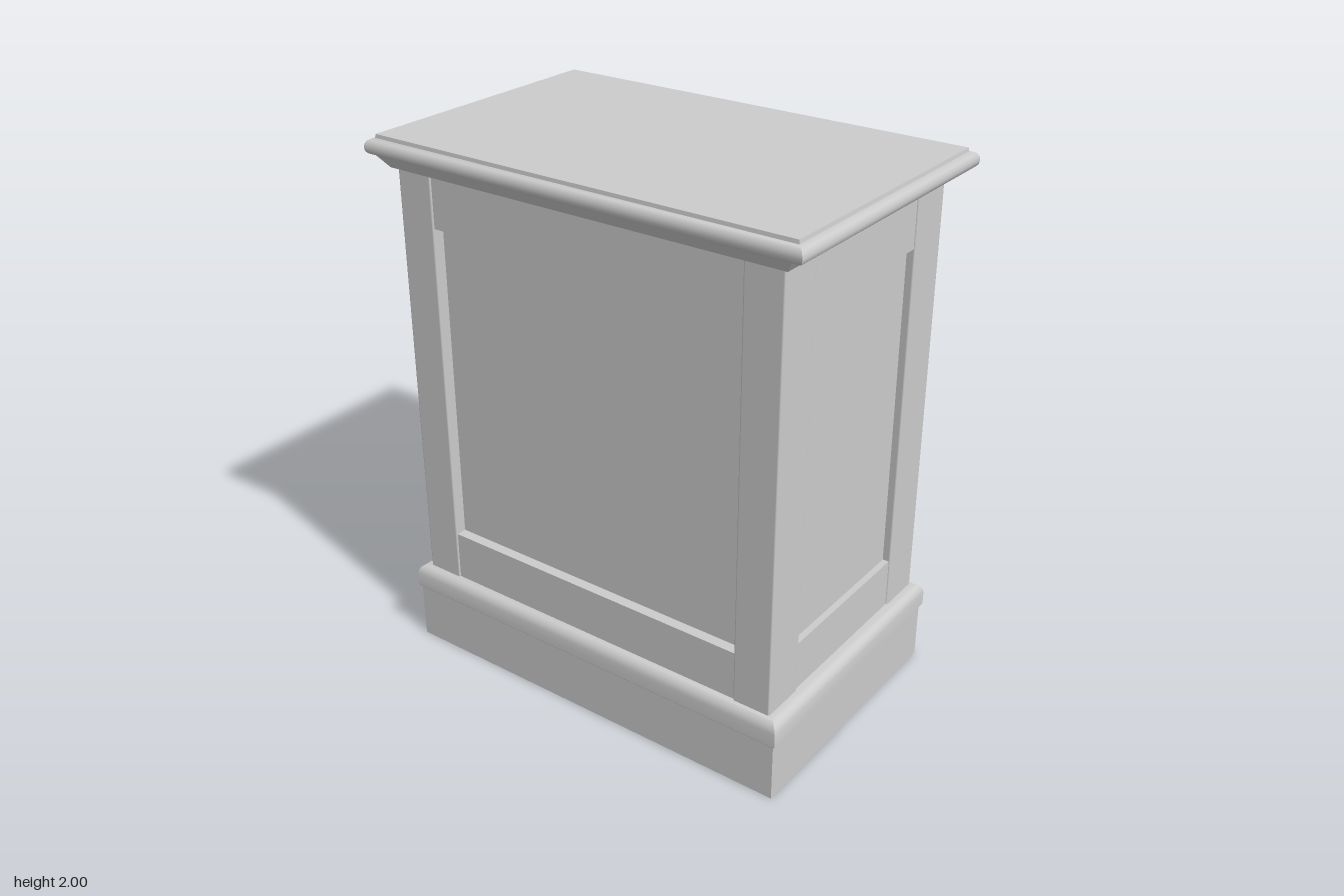
import * as THREE from 'three';
import { toCreasedNormals } from 'three/addons/utils/BufferGeometryUtils.js';
import { RoundedBoxGeometry } from 'three/addons/geometries/RoundedBoxGeometry.js';

const material = new THREE.MeshStandardMaterial({ color: 0xcccccc });
const CX = -0.008; // middle of the cabinet in x

function add(parent, name, geometry) {
  const mesh = new THREE.Mesh(geometry, material);
  mesh.name = name;
  parent.add(mesh);
  return mesh;
}

// Box given by its limits, optionally with softened edges
function block(parent, name, x0, x1, y0, y1, z0, z1, radius = 0) {
  const w = x1 - x0, h = y1 - y0, d = z1 - z0;
  const geo = radius ? new RoundedBoxGeometry(w, h, d, 2, radius) : new THREE.BoxGeometry(w, h, d);
  geo.translate((x0 + x1) / 2, (y0 + y1) / 2, (z0 + z1) / 2);
  return add(parent, name, geo);
}

// Rectangular moulding: the profile lists [outward offset, height] from bottom to top
function moulding(parent, name, hx, hz, profile) {
  const signs = [[1, 1], [1, -1], [-1, -1], [-1, 1]];
  const rings = profile.map(([o, y]) => signs.map(([sx, sz]) => [CX + sx * (hx + o), y, sz * (hz + o)]));
  const pos = [];
  const quad = (a, b, c, d) => [a, b, c, a, c, d].forEach(p => pos.push(...p));
  for (let i = 0; i < rings.length - 1; i++) {
    for (let k = 0; k < 4; k++) {
      const n = (k + 1) % 4;
      quad(rings[i][k], rings[i][n], rings[i + 1][n], rings[i + 1][k]);
    }
  }
  quad(...rings[rings.length - 1]);
  quad(...[...rings[0]].reverse());
  const geo = new THREE.BufferGeometry();
  geo.setAttribute('position', new THREE.Float32BufferAttribute(pos, 3));
  return add(parent, name, toCreasedNormals(geo, 0.6));
}

// Turned part whose axis points along local z
function turned(parent, name, points, segments = 20) {
  const geo = new THREE.LatheGeometry(points.map(p => new THREE.Vector2(...p)), segments);
  geo.rotateX(Math.PI / 2);
  return add(parent, name, geo);
}

// Drop handle, modelled with local z pointing away from the drawer
function makeHandle() {
  const handle = new THREE.Group();
  handle.name = 'drawerHandle';

  // Scalloped backplate
  const plate = new THREE.Shape();
  for (let i = 0; i < 96; i++) {
    const a = i / 96 * Math.PI * 2;
    const r = 0.034 + 0.003 * Math.cos(a * 16);
    plate[i ? 'lineTo' : 'moveTo'](r * Math.cos(a), r * Math.sin(a));
  }
  plate.closePath();

  for (const s of [-1, 1]) {
    const mount = new THREE.Group();
    mount.name = 'handleMount';
    mount.position.x = s * 0.22;
    add(mount, 'rosette', new THREE.ExtrudeGeometry(plate, { depth: 0.005, bevelEnabled: false }));
    turned(mount, 'knob', [[0.03, 0.004], [0.026, 0.011], [0.014, 0.014], [0.009, 0.019], [0.009, 0.026],
      [0.016, 0.03], [0.017, 0.036], [0.011, 0.041], [0, 0.043]]);
    handle.add(mount);

    // One half of the curved pull
    const path = new THREE.CatmullRomCurve3([
      [0.215, 0, 0.03], [0.192, -0.022, 0.032], [0.185, -0.062, 0.034], [0.158, -0.1, 0.035],
      [0.105, -0.113, 0.035], [0.06, -0.104, 0.035], [0.034, -0.082, 0.035], [0, -0.072, 0.035],
    ].map(([x, y, z]) => new THREE.Vector3(s * x, y, z)));
    add(handle, 'pull', new THREE.TubeGeometry(path, 40, 0.0065, 8));

    // Beads on the pull
    const bead = add(handle, 'bead', new THREE.SphereGeometry(0.012, 14, 10));
    bead.position.set(s * 0.033, -0.083, 0.035);
  }
  const centre = add(handle, 'centreBead', new THREE.SphereGeometry(0.016, 16, 12));
  centre.scale.set(0.9, 1.15, 0.85);
  centre.position.set(0, -0.067, 0.035);

  handle.rotation.y = Math.PI / 2;
  return handle;
}

function makeDrawer(y0, y1) {
  const drawer = new THREE.Group();
  drawer.name = 'drawer';
  const bevel = 0.01, w = 0.597 - bevel, h = (y1 - y0) / 2 - bevel, mid = (y0 + y1) / 2;
  const face = new THREE.Shape();
  face.moveTo(-w, -h).lineTo(w, -h).lineTo(w, h).lineTo(-w, h).closePath();
  const geo = new THREE.ExtrudeGeometry(face, {
    depth: 0.035, bevelSize: bevel, bevelThickness: bevel, bevelSegments: 3,
  });
  geo.rotateY(Math.PI / 2).translate(0.452, mid, 0);
  add(drawer, 'drawerFront', toCreasedNormals(geo, 0.6));
  const handle = makeHandle();
  handle.position.set(0.497, mid + 0.03, 0);
  drawer.add(handle);
  return drawer;
}

export function createModel() {
  const model = new THREE.Group();
  model.name = 'bedsideCabinet';

  // Carcass and corner posts
  const Y0 = 0.3, Y1 = 1.9;
  block(model, 'carcass', -0.445, 0.455, 0.25, 1.93, -0.735, 0.735);
  for (const s of [-1, 1]) {
    const span = (a, b) => (s > 0 ? [a, b] : [-b, -a]);
    block(model, 'frontPost', 0.3, 0.475, Y0, Y1, ...span(0.6, 0.765), 0.007);
    block(model, 'backPost', -0.49, -0.32, Y0, Y1, ...span(0.62, 0.765), 0.007);
    // Side rails above and below the sunken panel
    block(model, 'sideTopRail', -0.33, 0.31, 1.7, Y1, ...span(0.7, 0.759));
    block(model, 'sideBottomRail', -0.33, 0.31, Y0, 0.5, ...span(0.7, 0.759));
  }

  // Back rails
  block(model, 'backTopRail', -0.484, -0.4, 1.7, Y1, -0.63, 0.63);
  block(model, 'backBottomRail', -0.484, -0.4, Y0, 0.5, -0.63, 0.63);

  // Front rails and drawers
  const drawers = [[0.375, 0.827], [0.877, 1.33], [1.378, 1.83]];
  const gaps = [[Y0, 0.385], [0.817, 0.887], [1.32, 1.388], [1.82, Y1]];
  gaps.forEach(([a, b]) => block(model, 'frontRail', 0.42, 0.468, a, b, -0.605, 0.605));
  drawers.forEach(([a, b]) => model.add(makeDrawer(a, b)));

  // Top board with rounded edge and sloping moulding beneath
  moulding(model, 'topMoulding', 0.483, 0.765, [[0.008, 1.89], [0.016, 1.89], [0.05, 1.937]]);
  moulding(model, 'topBoard', 0.544, 0.853, [
    [-0.01, 1.935], [-0.003, 1.942], [0, 1.955], [-0.002, 1.968], [-0.008, 1.979],
    [-0.018, 1.985], [-0.028, 1.987], [-0.03, 2]]);

  // Base moulding
  moulding(model, 'baseMoulding', 0.515, 0.81, [
    [-0.003, 0.22], [0, 0.224], [0, 0.277], [-0.004, 0.292], [-0.012, 0.304], [-0.022, 0.311], [-0.035, 0.315]]);

  // Hollow plinth: back, ends and two shaped front feet
  const T = 0.06, H = 0.222;
  block(model, 'plinthBack', -0.515, -0.515 + T, 0, H, -0.8, 0.8);
  for (const s of [-1, 1]) {
    const z = [s * 0.8, s * (0.8 - T)].sort((a, b) => a - b);
    block(model, 'plinthEnd', -0.515 + T, 0.497 - T, 0, H, ...z);
    const foot = new THREE.Shape();
    foot.moveTo(s * 0.8, 0);
    foot.lineTo(s * 0.8, H);
    foot.lineTo(s * 0.148, H);
    foot.bezierCurveTo(s * 0.152, 0.15, s * 0.18, 0.095, s * 0.24, 0.095);
    foot.lineTo(s * 0.385, 0.095);
    foot.bezierCurveTo(s * 0.475, 0.095, s * 0.46, 0.005, s * 0.555, 0);
    foot.closePath();
    const geo = new THREE.ExtrudeGeometry(foot, { depth: T, bevelEnabled: false, curveSegments: 14 });
    geo.rotateY(Math.PI / 2).translate(0.497 - T, 0, 0);
    add(model, 'frontFoot', toCreasedNormals(geo, 0.6));
  }
  return model;
}
